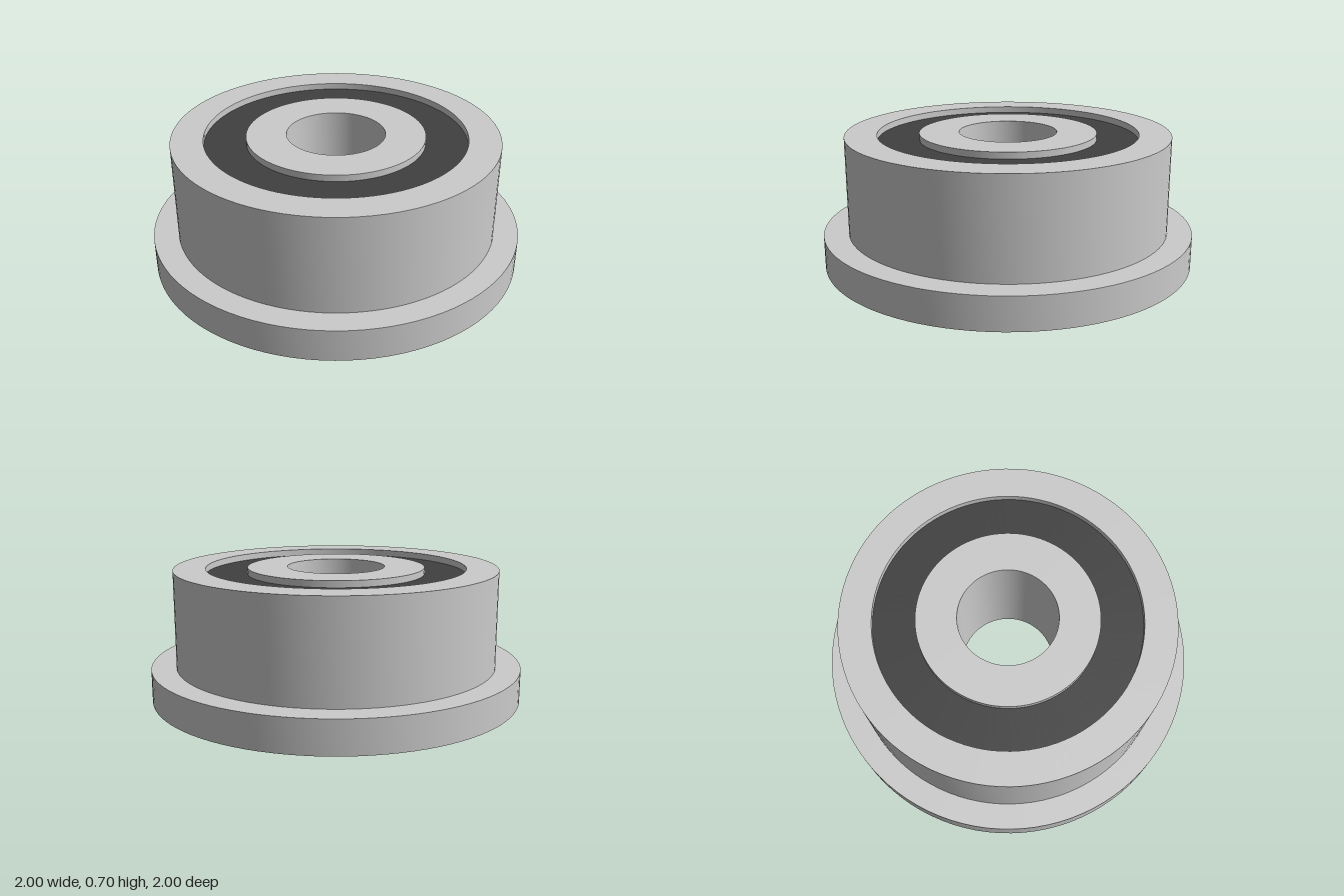
import * as THREE from 'three';
import { toCreasedNormals } from 'three/addons/utils/BufferGeometryUtils.js';

const HEIGHT = 0.697, FLANGE_HEIGHT = 0.175, RECESS = 0.035, SHIELD = 0.04;
const R_FLANGE = 1, R_OUTER = 0.868, R_RACE = 0.697, R_HUB = 0.475, R_BORE = 0.262;

// Revolve a closed counter-clockwise (radius, height) outline, keeping its corners sharp
function ring(name, outline, material) {
  const points = [...outline, outline[0]].map(([r, y]) => new THREE.Vector2(r, y));
  const geometry = toCreasedNormals(new THREE.LatheGeometry(points, 96), Math.PI / 6);
  const mesh = new THREE.Mesh(geometry, material);
  mesh.name = name;
  return mesh;
}

const box = (r0, r1, y0, y1) => [[r0, y0], [r1, y0], [r1, y1], [r0, y1]];

export function createModel() {
  const steel = new THREE.MeshStandardMaterial({ color: 0xcccccc });
  const rubber = new THREE.MeshStandardMaterial({ color: 0x404040 });
  const model = new THREE.Group();
  model.name = 'flangedBearing';

  // Outer ring with the flange at its foot
  model.add(ring('outerRing', [
    [R_RACE, 0], [R_FLANGE, 0], [R_FLANGE, FLANGE_HEIGHT],
    [R_OUTER, FLANGE_HEIGHT], [R_OUTER, HEIGHT], [R_RACE, HEIGHT],
  ], steel));

  // Inner ring around the bore
  model.add(ring('innerRing', box(R_BORE, R_HUB, 0, HEIGHT), steel));

  // Recessed dark seals on both faces
  model.add(ring('bottomSeal', box(R_HUB, R_RACE, RECESS, RECESS + SHIELD), rubber));
  model.add(ring('topSeal', box(R_HUB, R_RACE, HEIGHT - RECESS - SHIELD, HEIGHT - RECESS), rubber));

  return model;
}
